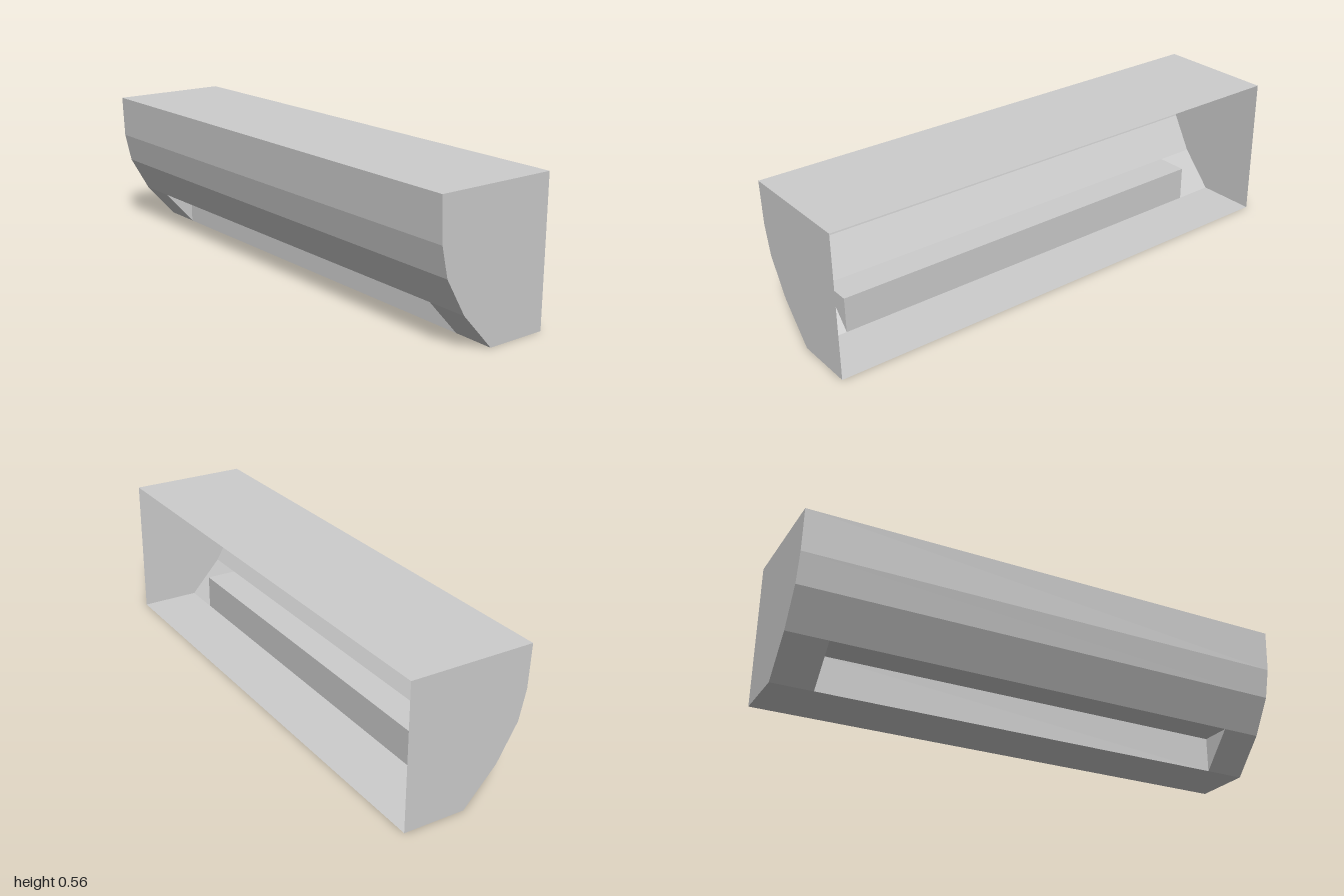
import * as THREE from 'three';

export function createModel() {
  const model = new THREE.Group();
  model.name = 'openCabinet';
  const grey = new THREE.MeshStandardMaterial({ color: 0xcccccc, side: THREE.DoubleSide });
  grey.name = 'light grey';

  // half length of the body and of the recess under its curved back
  const END = 1, NOTCH = 0.84;
  const curve = [[-0.24, 0.56], [-0.233, 0.395], [-0.207, 0.28], [-0.127, 0.14]];
  const lip = [-0.127, 0.14], foot = [0, 0], inner = [0, 0.14];

  const add = (name, geometry) => {
    const mesh = new THREE.Mesh(geometry, grey);
    mesh.name = name;
    model.add(mesh);
    return mesh;
  };

  // faceted thin panel: a profile in x, y swept from z0 to z1
  const panel = (name, profile, z0, z1) => {
    const v = [];
    for (let i = 0; i < profile.length - 1; i++) {
      const a = profile[i], b = profile[i + 1];
      v.push(...a, z0, ...b, z0, ...b, z1, ...a, z0, ...b, z1, ...a, z1);
    }
    const g = new THREE.BufferGeometry();
    g.setAttribute('position', new THREE.Float32BufferAttribute(v, 3));
    g.computeVertexNormals();
    return add(name, g);
  };

  // flat plate across the body, facing +z or -z
  const plate = (name, points, z, facing) => {
    const shape = new THREE.Shape(points.map(p => new THREE.Vector2(p[0] * facing, p[1])));
    const mesh = add(name, new THREE.ShapeGeometry(shape));
    mesh.position.z = z;
    if (facing < 0) mesh.rotation.y = Math.PI;
  };

  // shell, open towards +x
  panel('top', [[0.24, 0.56], curve[0]], -END, END);
  panel('curvedBack', curve, -END, END);
  panel('floor', [foot, [0.24, 0]], -END, END);

  // recess along the lower back edge
  panel('recess', [lip, inner, foot], -NOTCH, NOTCH);

  // end walls, with the short slopes and cheeks beside the recess
  for (const s of [1, -1]) {
    plate('endWall', [...curve, foot, [0.24, 0], [0.24, 0.56]], s * END, s);
    panel('lowerSlope', [lip, foot], s > 0 ? NOTCH : -END, s > 0 ? END : -NOTCH);
    plate('recessCheek', [lip, foot, inner], s * NOTCH, -s);
  }
  return model;
}
